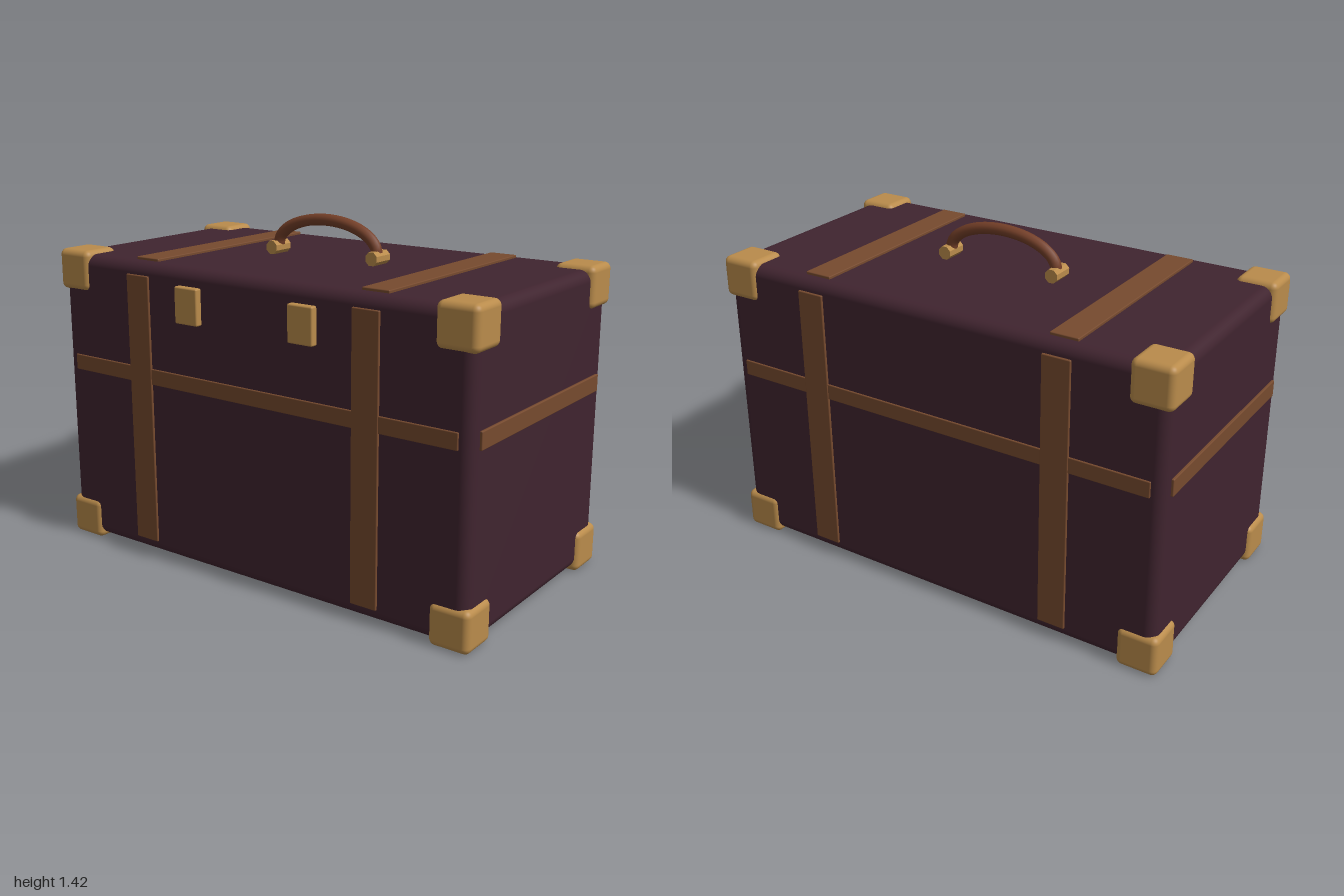
import * as THREE from 'three';
import { RoundedBoxGeometry } from 'three/addons/geometries/RoundedBoxGeometry.js';

const paint = (name, color) => {
  const m = new THREE.MeshStandardMaterial({ color });
  m.name = name;
  return m;
};

export function createModel() {
  const hide = paint('plum hide', 0x40242f);
  const leather = paint('strap leather', 0x764a2e);
  const grip = paint('handle leather', 0x743f28);
  const brass = paint('brass', 0xb98b4b);

  const model = new THREE.Group();
  model.name = 'trunk';
  const CY = 0.631, CZ = -0.007; // centre of the case

  const add = (name, geometry, material, x, y, z) => {
    const mesh = new THREE.Mesh(geometry, material);
    mesh.name = name;
    mesh.position.set(x, y, z);
    model.add(mesh);
    return mesh;
  };
  const block = (name, material, w, h, d, r, x, y, z) =>
    add(name, new RoundedBoxGeometry(w, h, d, 4, r), material, x, y, z);

  // Case
  block('case', hide, 1.97, 1.23, 1.04, 0.045, 0, CY, CZ);

  // Brass caps on all eight corners
  const cap = 0.169;
  for (const sx of [-1, 1]) for (const sy of [-1, 1]) for (const sz of [-1, 1]) {
    block('cornerCap', brass, cap, cap, cap, 0.026,
      sx * (1 - cap / 2), CY + sy * (0.631 - cap / 2), CZ + sz * (0.53 - cap / 2));
  }

  // Upright straps: one strip per face, front, back, top and bottom
  for (const sx of [-1, 1]) for (const s of [-1, 1]) {
    block('uprightStrap', leather, 0.117, 1.128, 0.024, 0.004, sx * 0.551, CY, CZ + s * 0.517);
    block(s > 0 ? 'topStrap' : 'bottomStrap', leather, 0.117, 0.024, 0.936, 0.004,
      sx * 0.551, CY + s * 0.614, CZ - 0.004);
  }

  // Belt around the middle
  for (const s of [-1, 1]) {
    block('belt', leather, 1.865, 0.066, 0.02, 0.004, 0, 0.784, CZ + s * 0.516);
    block('sideBelt', leather, 0.024, 0.07, 0.935, 0.004, s * 0.983, 0.783, CZ);
  }

  // Latches on the front only
  for (const s of [-1, 1]) {
    block('latch', brass, 0.115, 0.147, 0.036, 0.007, s * 0.277, 1.104, 0.522);
  }

  // Arched handle on two brass knuckles
  const points = [];
  for (let i = 0; i <= 16; i++) {
    const a = Math.PI * (1 - i / 16);
    points.push(new THREE.Vector3(0.244 * Math.cos(a), 1.285 + 0.117 * Math.sin(a), 0));
  }
  const arch = new THREE.CatmullRomCurve3(points);
  add('handle', new THREE.TubeGeometry(arch, 40, 0.024, 10), grip, 0, 0, CZ);

  const knuckle = new THREE.CylinderGeometry(0.029, 0.029, 0.094, 8).toNonIndexed();
  knuckle.rotateX(Math.PI / 2);
  knuckle.rotateZ(Math.PI / 8);
  knuckle.computeVertexNormals();
  for (const s of [-1, 1]) {
    add('handleKnuckle', knuckle, brass, s * 0.248, 1.273, CZ);
  }

  return model;
}
